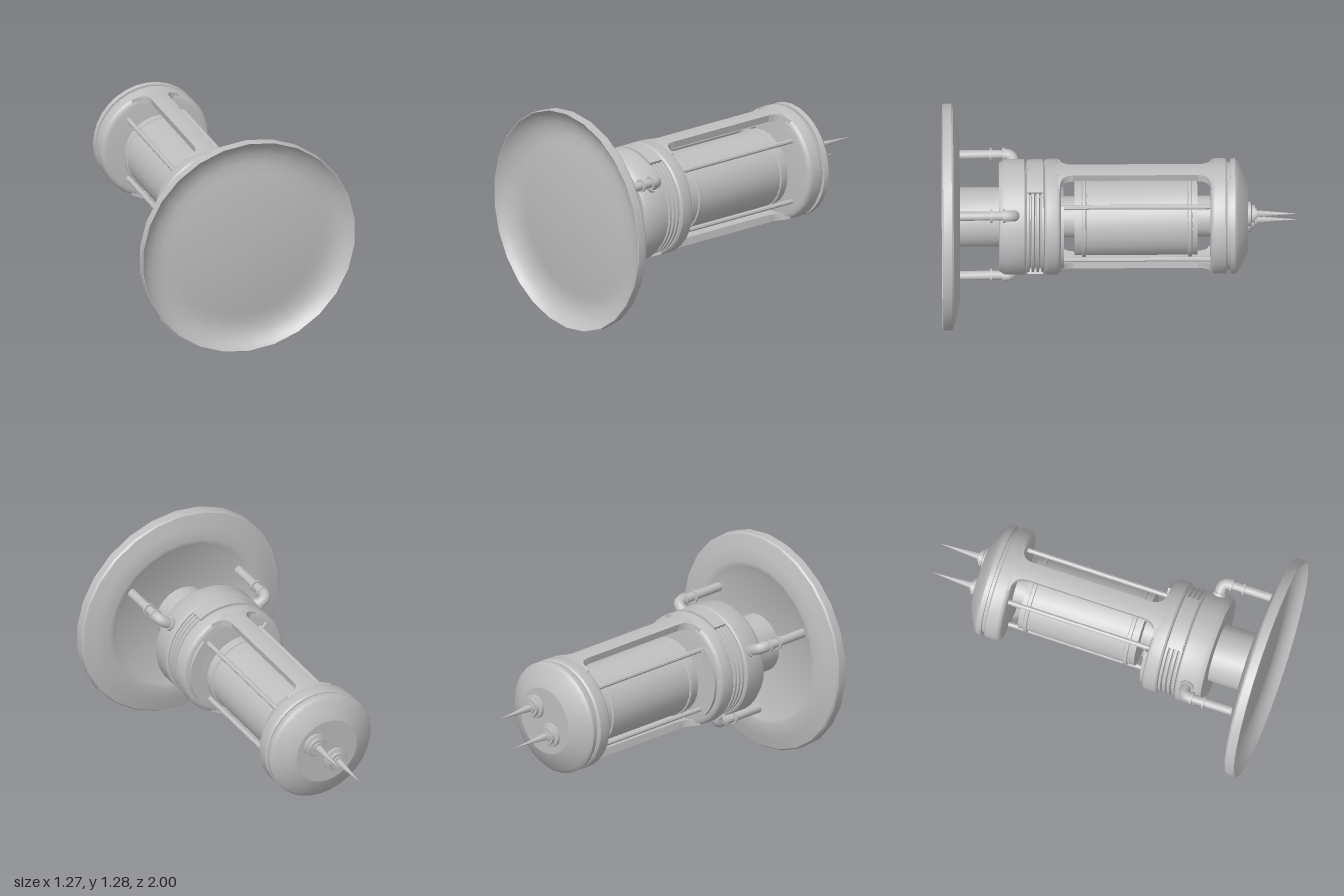
import * as THREE from 'three';
import { toCreasedNormals } from 'three/addons/utils/BufferGeometryUtils.js';

const AXIS_Y = 0.64;

export function createModel() {
  const model = new THREE.Group();
  model.name = 'lantern';
  const body = new THREE.Group();
  body.name = 'body';
  body.position.y = AXIS_Y;
  model.add(body);

  const grey = new THREE.MeshStandardMaterial({ color: 0xbfbfbf });
  grey.name = 'plain grey';

  const add = (parent, name, geometry) => {
    const mesh = new THREE.Mesh(geometry, grey);
    mesh.name = name;
    parent.add(mesh);
    return mesh;
  };
  // Turned part along z: [radius, z] pairs running from low z to high z
  const turned = (parent, name, profile, sides = 32, crease = 0.6) => {
    const pts = profile.map(([r, z]) => new THREE.Vector2(r, z));
    const geo = new THREE.LatheGeometry(pts, sides).rotateX(Math.PI / 2);
    return add(parent, name, toCreasedNormals(geo, crease));
  };
  const rod = (parent, name, r, z0, z1, sides = 24) =>
    turned(parent, name, [[0, z0], [r, z0], [r, z1], [0, z1]], sides);

  // Round dish: a thin pressed plate with a flat floor, a moat and an upturned rim
  turned(body, 'dish', [
    [0, 0.926], [0.42, 0.926], [0.45, 0.91], [0.48, 0.904], [0.56, 0.921], [0.632, 0.94], [0.64, 0.95],
    [0.64, 0.998], [0.636, 1], [0.62, 0.98], [0.595, 0.956], [0.55, 0.936], [0.49, 0.926], [0.435, 0.937], [0, 0.937],
  ], 26, 0.5);
  rod(body, 'neck', 0.168, 0.67, 0.93);

  // Base collar, ribbed section and lower ring
  turned(body, 'baseCollar', [
    [0, 0.532], [0.315, 0.532], [0.325, 0.54], [0.325, 0.65], [0.305, 0.682], [0, 0.682],
  ]);
  const ribs = [[0, 0.42]];
  for (let i = 0; i < 4; i++) {
    const z = 0.427 + i * 0.027;
    ribs.push([0.288, z], [0.31, z + 0.005], [0.31, z + 0.018], [0.288, z + 0.023]);
  }
  ribs.push([0, 0.54]);
  turned(body, 'ribs', ribs, 32, 0.4);
  turned(body, 'lowerRing', [
    [0, 0.335], [0.29, 0.335], [0.308, 0.338], [0.32, 0.346], [0.325, 0.358],
    [0.325, 0.417], [0.315, 0.427], [0, 0.427],
  ]);

  // Upper ring, groove and cap
  turned(body, 'upperRing', [
    [0, -0.6], [0.315, -0.6], [0.325, -0.59], [0.325, -0.53], [0.32, -0.517],
    [0.308, -0.508], [0.29, -0.505], [0, -0.505],
  ]);
  rod(body, 'capGroove', 0.303, -0.63, -0.59, 32);
  turned(body, 'cap', [
    [0, -0.717], [0.195, -0.717], [0.225, -0.706], [0.31, -0.66], [0.325, -0.645],
    [0.322, -0.617], [0, -0.617],
  ], 32, 0.3);

  // Inner cell with its core, bands and guard rods
  rod(body, 'core', 0.115, -0.52, 0.35);
  rod(body, 'cell', 0.218, -0.432, 0.258);
  for (const z of [-0.39, 0.205])
    turned(body, 'cellBand', [[0.214, z - 0.014], [0.227, z - 0.009], [0.227, z + 0.009], [0.214, z + 0.014]]);
  for (const x of [-0.165, 0.165])
    for (const y of [-0.18, 0.18]) rod(body, 'guardRod', 0.014, -0.52, 0.35, 8).position.set(x, y, 0);

  // Curved plate wrapped around the axis, centred on the given angle
  const arcPlate = (inner, outer, angle, half, z, depth) => {
    const s = new THREE.Shape();
    s.absarc(0, 0, outer, angle - half, angle + half, false);
    s.absarc(0, 0, inner, angle + half, angle - half, true);
    const g = new THREE.ExtrudeGeometry(s, { depth, bevelEnabled: false, curveSegments: 10 });
    return toCreasedNormals(g.translate(0, 0, z), 0.6);
  };
  // Raised lips on the sides of the lower ring
  for (const angle of [0, Math.PI])
    add(body, 'ringLip', arcPlate(0.22, 0.29, angle, 0.8, 0.318, 0.03));

  // Concave corner joining a frame bar to a ring, sloped to follow the ring
  const fillet = (sx, z, dir) => {
    const s = new THREE.Shape();
    s.moveTo(sx * 0.045, -(z + dir * 0.02));
    s.lineTo(sx * 0.14, -(z + dir * 0.02));
    s.lineTo(sx * 0.14, -z);
    s.quadraticCurveTo(sx * 0.054, -z, sx * 0.054, -(z - dir * 0.075));
    s.lineTo(sx * 0.045, -(z - dir * 0.075));
    s.closePath();
    const g = new THREE.ExtrudeGeometry(s, { depth: 0.042, bevelEnabled: false, curveSegments: 8 });
    g.rotateX(-Math.PI / 2).translate(0, 0.282, 0);
    const p = g.attributes.position;
    for (let i = 0; i < p.count; i++)
      p.setY(i, p.getY(i) - 0.324 + Math.sqrt(0.324 ** 2 - p.getX(i) ** 2));
    return toCreasedNormals(g, 0.6);
  };
  // Top and bottom frames: bar, flared corners and rib cover
  for (const turn of [0, Math.PI]) {
    const side = new THREE.Group();
    side.name = turn ? 'bottomFrame' : 'topFrame';
    side.rotation.z = turn;
    body.add(side);
    add(side, 'frameBar', arcPlate(0.282, 0.3245, Math.PI / 2, 0.167, -0.535, 0.898));
    for (const sx of [-1, 1]) {
      add(side, 'frameCorner', fillet(sx, 0.34, 1));
      add(side, 'frameCorner', fillet(sx, -0.51, -1));
    }
    add(side, 'ribPanel', arcPlate(0.27, 0.324, Math.PI / 2, 0.52, 0.437, 0.086));
  }

  // Three bent pipes from dish to base collar
  const v = (x, z) => new THREE.Vector3(x, 0, z);
  const elbow = new THREE.CurvePath();
  elbow.add(new THREE.LineCurve3(v(0.403, 0.66), v(0.403, 0.645)));
  elbow.add(new THREE.QuadraticBezierCurve3(v(0.403, 0.645), v(0.403, 0.6), v(0.355, 0.6)));
  elbow.add(new THREE.LineCurve3(v(0.355, 0.6), v(0.29, 0.6)));
  const elbowGeo = new THREE.TubeGeometry(elbow, 18, 0.032, 12);
  for (const degrees of [-90, 36, 155]) {
    const pipe = new THREE.Group();
    pipe.name = 'pipe';
    pipe.rotation.z = THREE.MathUtils.degToRad(degrees);
    body.add(pipe);
    add(pipe, 'elbow', elbowGeo);
    rod(pipe, 'pipeStem', 0.026, 0.65, 0.93, 12).position.x = 0.403;
    for (const z of [0.655, 0.727])
      rod(pipe, 'flange', 0.038, z - 0.006, z + 0.006, 12).position.x = 0.403;
    const boss = add(pipe, 'boss', new THREE.CylinderGeometry(0.04, 0.04, 0.03, 12));
    boss.rotation.z = Math.PI / 2;
    boss.position.set(0.325, 0, 0.6);
  }

  // Two stepped terminals with sharp spikes
  for (const [x, y] of [[0.077, 0.068], [-0.054, -0.065]]) {
    turned(body, 'terminal', [
      [0, -1], [0.02, -0.765], [0.032, -0.765], [0.032, -0.755], [0.05, -0.755], [0.05, -0.738],
      [0.07, -0.732], [0.07, -0.71], [0, -0.71],
    ], 12).position.set(x, y, 0);
  }
  return model;
}
